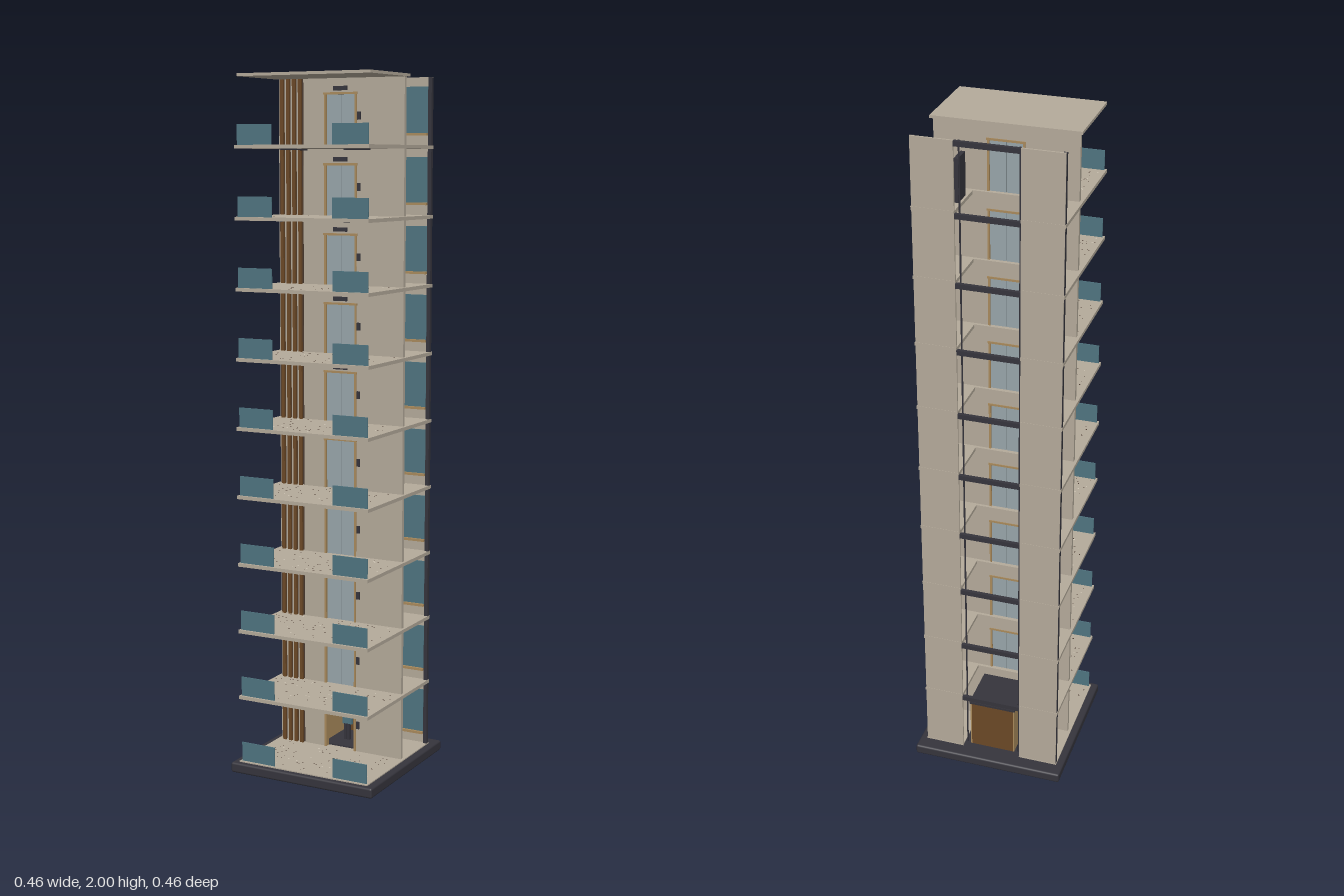
import * as THREE from 'three';
import { mergeGeometries } from 'three/addons/utils/BufferGeometryUtils.js';
import { RoundedBoxGeometry } from 'three/addons/geometries/RoundedBoxGeometry.js';

const mat = (name, color, extra = {}) => {
  const m = new THREE.MeshStandardMaterial({ color, ...extra });
  m.name = name;
  return m;
};
const M = {
  concrete: mat('concrete', 0xb4aa9a),
  dark: mat('dark metal', 0x35343c),
  glass: mat('blue panel', 0x4f7480),
  door: mat('door steel', 0x98a5aa),
  wood: mat('light wood', 0xa98a5c),
  brown: mat('brown wood', 0x6b4826),
  chip: mat('dark chip', 0x4a3a30),
  pale: mat('pale chip', 0xd8d0c0),
};

// Box given by its minimum and maximum on each axis
function box(parent, name, m, x0, x1, y0, y1, z0, z1) {
  const mesh = new THREE.Mesh(new THREE.BoxGeometry(x1 - x0, y1 - y0, z1 - z0), m);
  mesh.position.set((x0 + x1) / 2, (y0 + y1) / 2, (z0 + z1) / 2);
  mesh.name = name;
  parent.add(mesh);
  return mesh;
}

// Same box on both sides of x = 0
function pair(parent, name, m, x0, x1, y0, y1, z0, z1) {
  box(parent, name + 'Left', m, x0, x1, y0, y1, z0, z1);
  box(parent, name + 'Right', m, -x1, -x0, y0, y1, z0, z1);
}

let seed = 7;
const rand = () => (seed = (seed * 16807) % 2147483647) / 2147483647;

// Small chips scattered on the floor surface
function speckles(parent, name, m, count) {
  const parts = [];
  for (let i = 0; i < count; i++) {
    const size = 0.003 + rand() * 0.003;
    const g = new THREE.CircleGeometry(size / 2, 5);
    g.rotateX(-Math.PI / 2);
    g.translate((rand() - 0.5) * 0.39, 0.0006, rand() * 0.2);
    parts.push(g);
  }
  const mesh = new THREE.Mesh(mergeGeometries(parts), m);
  mesh.name = name;
  parent.add(mesh);
}

// Floor plate with a notch for the lift shaft at the back
function slabGeometry() {
  const s = new THREE.Shape();
  const pts = [[-0.209, -0.217], [0.209, -0.217], [0.209, 0.188], [0.09, 0.188],
    [0.09, 0.037], [-0.09, 0.037], [-0.09, 0.188], [-0.209, 0.188]];
  s.setFromPoints(pts.map(p => new THREE.Vector2(...p)));
  const g = new THREE.ExtrudeGeometry(s, { depth: 0.01, bevelEnabled: false });
  g.rotateX(-Math.PI / 2);
  g.translate(0, -0.01, 0);
  return g;
}

// One storey; y = 0 is its floor surface
function storey(i, slabGeo, h) {
  const g = new THREE.Group();
  g.name = 'storey' + (i + 1);
  const slab = new THREE.Mesh(slabGeo, M.concrete);
  slab.name = 'floorSlab';
  g.add(slab);
  speckles(g, 'darkChips', M.chip, 85);
  speckles(g, 'paleChips', M.pale, 20);

  // Wall with the lift doorway
  const top = h - 0.01;
  pair(g, 'frontWall', M.concrete, 0.05, 0.2, 0, top, -0.028, -0.016);
  box(g, 'lintel', M.concrete, -0.05, 0.05, 0.143, top, -0.028, -0.016);
  pair(g, 'doorJamb', M.wood, 0.046, 0.052, 0, 0.143, -0.03, -0.013);
  box(g, 'doorHead', M.wood, -0.054, 0.054, 0.141, 0.147, -0.03, -0.012);
  if (i > 0) pair(g, 'liftDoor', M.door, 0.0008, 0.046, 0, 0.141, -0.025, -0.02);
  box(g, 'floorIndicator', M.dark, -0.022, 0.022, 0.152, 0.164, -0.016, -0.011);
  box(g, 'callPanel', M.dark, 0.054, 0.064, 0.07, 0.092, -0.016, -0.012);

  // Timber slats on a dark backing
  box(g, 'slatBacking', M.chip, -0.197, -0.12, 0.002, top, -0.016, -0.0145);
  for (let k = 0; k < 4; k++) {
    const x = -0.187 + k * 0.0195;
    box(g, 'slat', M.brown, x - 0.005, x + 0.005, 0, top, -0.0145, -0.008);
    if (k < 3) box(g, 'wallStrip', M.concrete, x + 0.007, x + 0.0125, 0.002, top, -0.0145, -0.0138);
  }

  // Balcony panels and ceiling light strips
  pair(g, 'balconyPanel', M.glass, 0.095, 0.204, 0, 0.056, 0.207, 0.21);
  if (i < 9) pair(g, 'lightStrip', M.dark, 0.098, 0.103, top - 0.004, top, 0, 0.15);

  // Rear piers with windows, sills and shaft beam
  const pierTop = i === 9 ? h - 0.006 : top;
  pair(g, 'rearPier', M.concrete, 0.09, 0.207, 0, pierTop, -0.187, -0.181);
  pair(g, 'rearWindow', M.glass, 0.105, 0.195, 0.035, 0.165, -0.181, -0.178);
  pair(g, 'windowSill', M.wood, 0.105, 0.195, 0.028, 0.035, -0.181, -0.17);
  box(g, 'shaftBeam', M.dark, -0.09, 0.09, h - 0.021, h - 0.007, -0.188, -0.177);
  return g;
}

// Lift car waiting at the ground floor, with a passenger
function liftCar() {
  const g = new THREE.Group();
  g.name = 'liftCar';
  pair(g, 'carSide', M.wood, 0.066, 0.07, 0, 0.157, -0.172, -0.031);
  box(g, 'carBack', M.brown, -0.066, 0.066, 0, 0.157, -0.172, -0.167);
  box(g, 'carFloor', M.dark, -0.066, 0.066, -0.002, 0.004, -0.167, -0.031);
  box(g, 'carRoof', M.dark, -0.072, 0.072, 0.157, 0.164, -0.176, -0.031);

  const p = new THREE.Group();
  p.name = 'passenger';
  p.position.set(-0.015, 0.004, -0.09);
  pair(p, 'leg', M.dark, 0.001, 0.009, 0, 0.05, -0.005, 0.005);
  box(p, 'torso', M.glass, -0.011, 0.011, 0.05, 0.085, -0.006, 0.006);
  pair(p, 'arm', M.glass, 0.011, 0.016, 0.048, 0.083, -0.004, 0.004);
  const head = new THREE.Mesh(new THREE.SphereGeometry(0.009, 12, 8), M.wood);
  head.name = 'head';
  head.position.y = 0.095;
  const hair = new THREE.Mesh(new THREE.SphereGeometry(0.0097, 12, 6, 0, Math.PI * 2, 0, 1.3), M.dark);
  hair.name = 'hair';
  hair.position.set(0, 0.0955, -0.001);
  p.add(head, hair);
  g.add(p);
  return g;
}

export function createModel() {
  const model = new THREE.Group();
  model.name = 'liftTower';
  const ground = 0.033, pitch = 0.197;

  // Base plate
  const base = new THREE.Mesh(new RoundedBoxGeometry(0.46, 0.03, 0.464, 2, 0.006), M.dark);
  base.name = 'basePlate';
  base.position.y = 0.015;
  model.add(base);

  // Stacked storeys
  const slabGeo = slabGeometry();
  for (let i = 0; i < 10; i++) {
    const s = storey(i, slabGeo, pitch);
    s.position.y = ground + i * pitch;
    model.add(s);
  }
  box(model, 'roof', M.concrete, -0.207, 0.207, 1.992, 2, -0.037, 0.204);

  // Full-height columns and lift guide rails
  pair(model, 'cornerColumn', M.dark, 0.197, 0.208, 0.03, 1.996, -0.185, -0.174);
  for (const x of [-0.082, 0.082]) {
    const rail = new THREE.Mesh(new THREE.CylinderGeometry(0.0025, 0.0025, 1.96, 8), M.dark);
    rail.name = 'guideRail';
    rail.position.set(x, 1.012, -0.165);
    model.add(rail);
  }

  // Counterweight at the top of the shaft
  box(model, 'counterweight', M.dark, 0.083, 0.095, 1.823, 1.943, -0.17, -0.113);

  const car = liftCar();
  car.position.y = ground;
  model.add(car);
  return model;
}
